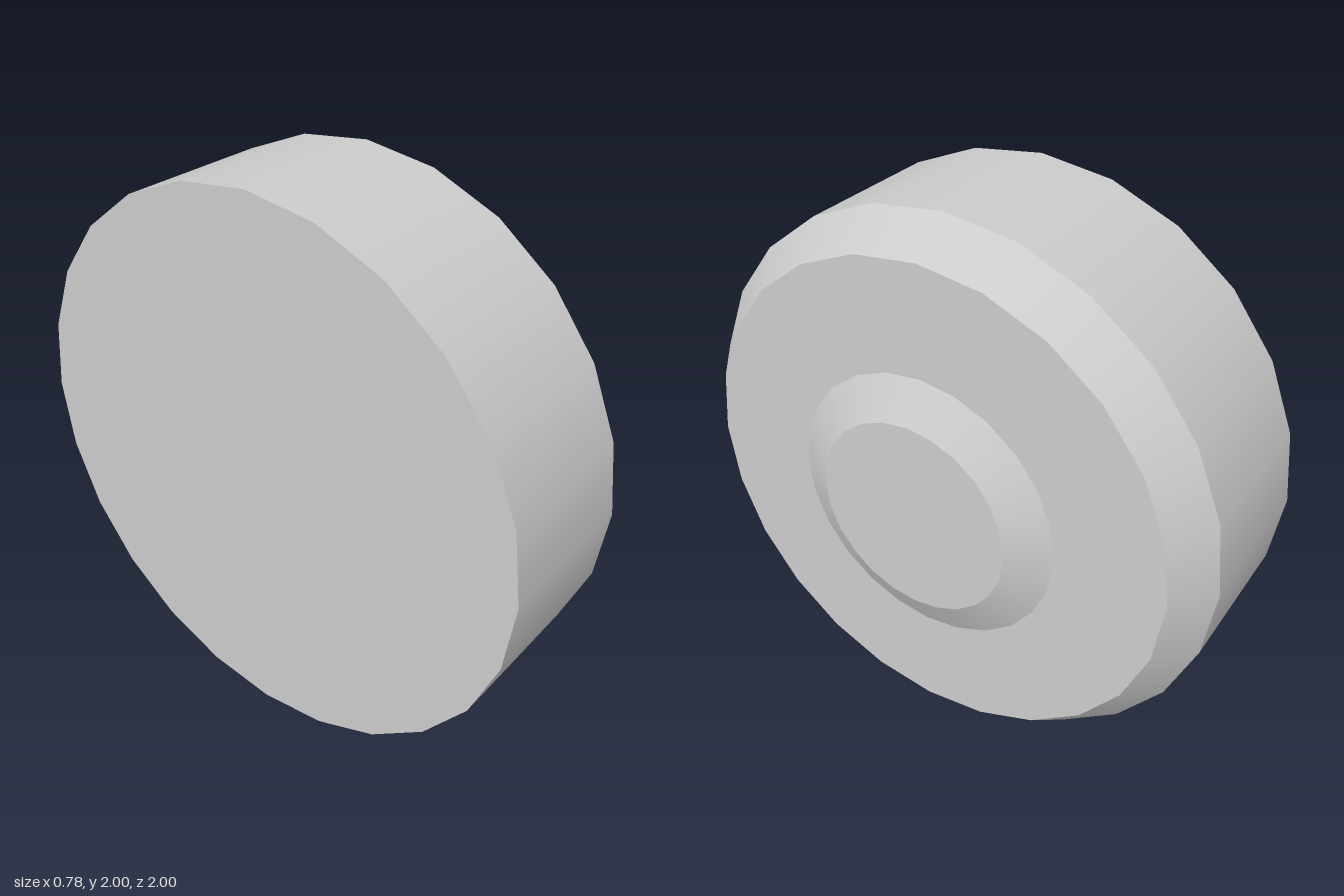
import * as THREE from 'three';

const SIDES = 24;
const material = new THREE.MeshStandardMaterial({ color: 0xcccccc });

export function createModel() {
  const model = new THREE.Group();
  model.name = 'wheel';

  const add = (name, geometry, x) => {
    const mesh = new THREE.Mesh(geometry, material);
    mesh.name = name;
    mesh.position.set(x, 1, 0);
    model.add(mesh);
  };

  // Open band around the x axis, from radius r0 at x0 to radius r1 at x1
  const band = (name, x0, r0, x1, r1) => {
    const geometry = new THREE.CylinderGeometry(r1, r0, x1 - x0, SIDES, 1, true);
    add(name, geometry.rotateZ(-Math.PI / 2), (x0 + x1) / 2);
  };

  // Flat face across the x axis, facing +x (dir 1) or -x (dir -1)
  const face = (name, x, inner, outer, dir) => {
    const geometry = inner > 0
      ? new THREE.RingGeometry(inner, outer, SIDES)
      : new THREE.CircleGeometry(outer, SIDES);
    add(name, geometry.rotateY(dir * Math.PI / 2), x);
  };

  // Tyre: flat inner side, tread and bevelled outer shoulder
  face('innerFace', -0.39, 0, 1, -1);
  band('tread', -0.39, 1, 0.177, 1);
  band('shoulder', 0.177, 1, 0.317, 0.89);
  face('outerFace', 0.317, 0.5, 0.89, 1);

  // Raised hub with sloping rim
  band('hubRim', 0.317, 0.5, 0.39, 0.36);
  face('hubCap', 0.39, 0, 0.36, 1);

  return model;
}
